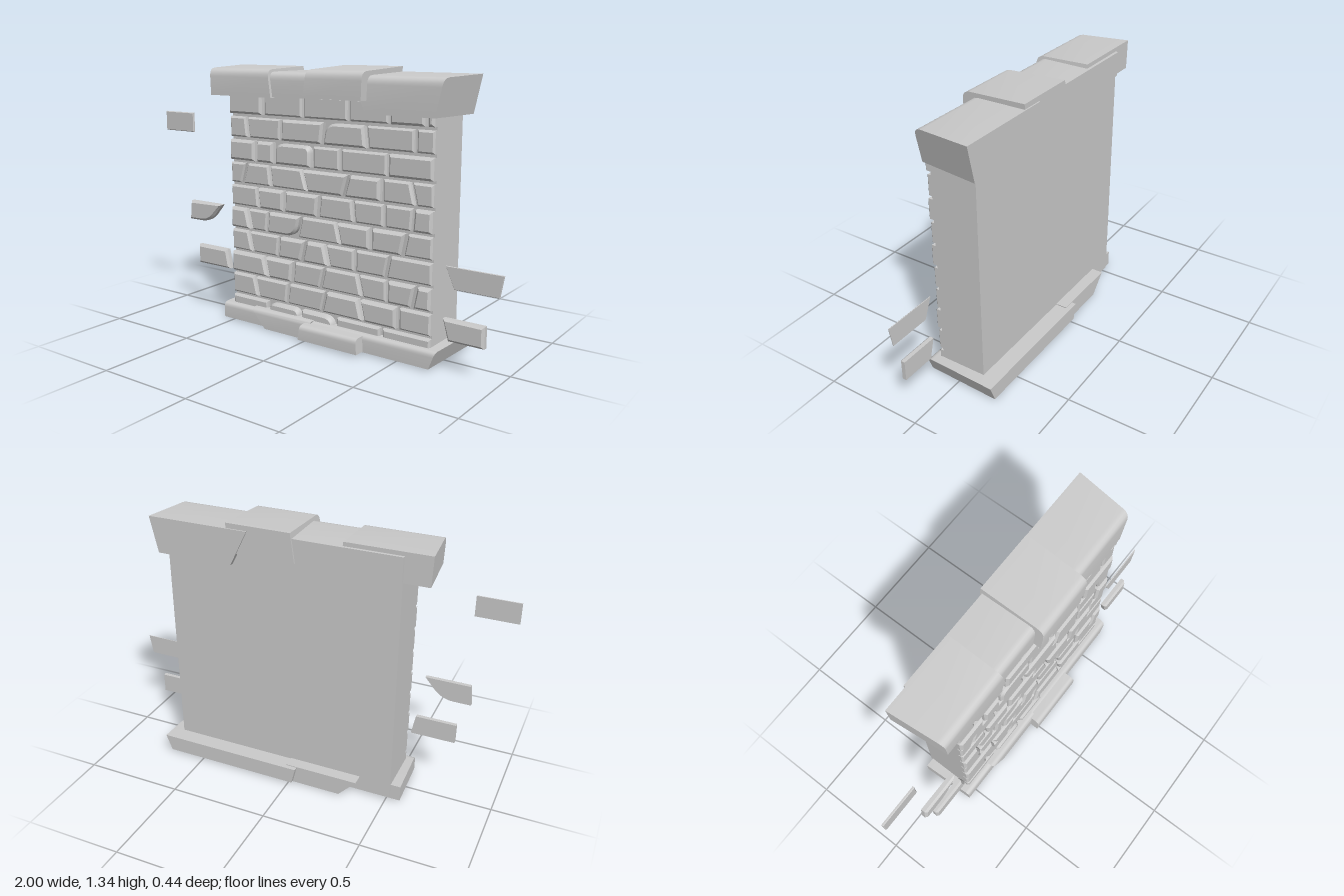
import * as THREE from 'three';
import { toCreasedNormals } from 'three/addons/utils/BufferGeometryUtils.js';

const material = new THREE.MeshStandardMaterial({ color: 0xcccccc });
const lerp = THREE.MathUtils.lerp;

function addMesh(parent, name, geometry) {
  const mesh = new THREE.Mesh(geometry, material);
  mesh.name = name;
  parent.add(mesh);
  return mesh;
}

// Four-sided outline from bottom left, counter-clockwise; each corner may be rounded
function outline(corners, radii = []) {
  const shape = new THREE.Shape();
  const pts = corners.map(([x, y]) => new THREE.Vector2(x, y));
  pts.forEach((p, i) => {
    const r = radii[i] || 0;
    const toward = (q) => p.clone().add(q.clone().sub(p).setLength(r));
    const a = toward(pts[(i + 3) % 4]);
    const b = toward(pts[(i + 1) % 4]);
    if (i === 0) shape.moveTo(a.x, a.y);
    else shape.lineTo(a.x, a.y);
    if (r > 0) shape.quadraticCurveTo(p.x, p.y, b.x, b.y);
  });
  shape.closePath();
  return shape;
}

// Brick of one course: bevelled front, flat back on the wall face
function brickGeometry(course, bottom, top, depth, radii) {
  const y0 = 0.029 + 0.118 * course, y1 = y0 + 0.102;
  const bevel = depth * 0.36;
  const corners = [[bottom[0], y0], [bottom[1], y0], [top[1], y1], [top[0], y1]];
  const g = new THREE.ExtrudeGeometry(outline(corners, radii), {
    depth: depth - bevel, bevelThickness: bevel, bevelSize: bevel, bevelOffset: -bevel,
    bevelSegments: 1, curveSegments: 5,
  });
  const p = g.attributes.position;
  for (let i = 0; i < p.count; i++) p.setZ(i, Math.max(0, p.getZ(i)));
  g.translate(0, 0, 0.1);
  return toCreasedNormals(g, 0.4);
}

// Long stone with a rounded upper front edge, slanted ends and ends that taper toward the front
function slabGeometry({ top, bottom = top, y, z, round, slope = 0, taper = [0, 0] }) {
  const profile = outline(
    [[-z[1], y[0]], [-z[0], y[0]], [-z[0], y[1]], [-z[1], y[1] - slope]], [0, 0, 0, round]);
  const g = new THREE.ExtrudeGeometry(profile, { depth: 1, bevelEnabled: false, curveSegments: 4 });
  g.rotateY(Math.PI / 2);
  const p = g.attributes.position;
  for (let i = 0; i < p.count; i++) {
    const s = (p.getY(i) - y[0]) / (y[1] - y[0]);
    const f = (p.getZ(i) - z[0]) / (z[1] - z[0]);
    const left = lerp(bottom[0], top[0], s) + taper[0] * f;
    const right = lerp(bottom[1], top[1], s) - taper[1] * f;
    p.setX(i, lerp(left, right, p.getX(i)));
  }
  return toCreasedNormals(g, 0.5);
}

// Courses from the ground up: joint positions, and how strongly the joints lean
const courses = [
  { joints: [-0.28, -0.07, 0.14, 0.4], lean: 0 },
  { joints: [-0.36, -0.155, 0.07, 0.29, 0.49], lean: 1 },
  { joints: [-0.29, -0.12, 0.06, 0.28, 0.43, 0.575], lean: 1 },
  { joints: [-0.395, -0.21, -0.05, 0.09, 0.25, 0.43], lean: 1 },
  { joints: [-0.4, -0.28, -0.08, 0.155, 0.34, 0.52], lean: 1 },
  { joints: [-0.34, -0.17, 0.04, 0.24, 0.41, 0.56], lean: 0.4 },
  { joints: [-0.43, -0.26, -0.045, 0.2, 0.395, 0.56], lean: -1.2 },
  { joints: [-0.35, -0.23, 0, 0.165, 0.425], lean: 0 },
  { joints: [-0.405, -0.19, 0.07, 0.31, 0.565], lean: 0.5 },
  { joints: [-0.3, -0.055, 0.21, 0.43, 0.62], lean: 0 },
];
const leanCycle = [-0.012, 0.005, 0.012, -0.012, 0, 0.01];

// Worn bricks, by course and place: corner radii
const worn = {
  '0_1': [0, 0, 0.04, 0.04],
  '0_2': [0, 0, 0.06],
  '4_2': [0, 0.06],
  '7_2': [0, 0, 0.035, 0.05],
  '8_3': [0, 0, 0, 0.06],
};

// Loose bricks beside the wall, level with its courses
const looseBricks = [
  { course: 8, bottom: [-1, -0.795], top: [-1, -0.795], depth: 0.01 },
  { course: 4, bottom: [-0.825, -0.68], top: [-0.815, -0.592], depth: 0.032, radii: [0, 0.06] },
  { course: 2, bottom: [-0.765, -0.54], top: [-0.765, -0.56], depth: 0.032 },
  { course: 3, bottom: [0.765, 0.98], top: [0.72, 0.998], depth: 0.006 },
  { course: 1, bottom: [0.75, 0.925], top: [0.722, 0.925], depth: 0.032 },
];

const capStones = [
  { top: [-0.65, -0.24], bottom: [-0.645, -0.22], y: [1.18, 1.325], z: [-0.13, 0.155], slope: 0.01, taper: [0.028, 0.005] },
  { top: [-0.52, 0.06], y: [1.185, 1.305], z: [-0.145, 0.14] },
  { top: [0.005, 0.33], bottom: [-0.015, 0.325], y: [1.19, 1.335], z: [-0.155, 0.18], slope: 0.015, taper: [0.005, 0.01] },
  { top: [0.22, 0.74], bottom: [0.31, 0.7], y: [1.13, 1.31], z: [-0.162, 0.135], slope: 0.008, taper: [0, 0.035] },
];

const baseStones = [
  { top: [-0.57, -0.26], y: [0.006, 0.088], z: [-0.125, 0.155], taper: [0.012, 0] },
  { top: [-0.36, 0.02], bottom: [-0.27, -0.01], y: [0, 0.096], z: [-0.195, 0.17] },
  { top: [-0.01, 0.32], bottom: [-0.02, 0.325], y: [0.012, 0.087], z: [-0.14, 0.217] },
  { top: [-0.04, 0.722], bottom: [-0.02, 0.69], y: [0.008, 0.092], z: [-0.218, 0.16], taper: [0, 0.015] },
];

export function createModel() {
  const model = new THREE.Group();
  model.name = 'stoneWall';

  // Solid core
  addMesh(model, 'wallCore', new THREE.BoxGeometry(1.18, 1.23, 0.235)).position.set(0.07, 0.63, -0.0175);

  // Courses of brick on the front, some standing proud of the rest
  const bricks = new THREE.Group();
  bricks.name = 'bricks';
  model.add(bricks);
  const gap = 0.008;
  courses.forEach(({ joints, lean }, c) => {
    const leans = [0, ...joints.map((_, i) => leanCycle[i] * lean), 0];
    const edges = [-0.528, ...joints, 0.668];
    for (let i = 0; i < edges.length - 1; i++) {
      const bottom = [edges[i] - leans[i] + gap, edges[i + 1] - leans[i + 1] - gap];
      const top = [edges[i] + leans[i] + gap, edges[i + 1] + leans[i + 1] - gap];
      const radii = worn[`${c}_${i}`];
      const proud = radii || [2, 4].includes((2 * i + c) % 5);
      addMesh(bricks, `brick${c + 1}_${i + 1}`, brickGeometry(c, bottom, top, proud ? 0.033 : 0.024, radii));
    }
  });

  looseBricks.forEach(({ course, bottom, top, depth, radii }, i) =>
    addMesh(model, `looseBrick${i + 1}`, brickGeometry(course, bottom, top, depth, radii)));
  capStones.forEach((s, i) => addMesh(model, `capStone${i + 1}`, slabGeometry({ round: 0.04, ...s })));
  baseStones.forEach((s, i) => addMesh(model, `baseStone${i + 1}`, slabGeometry({ round: 0.025, ...s })));

  return model;
}
